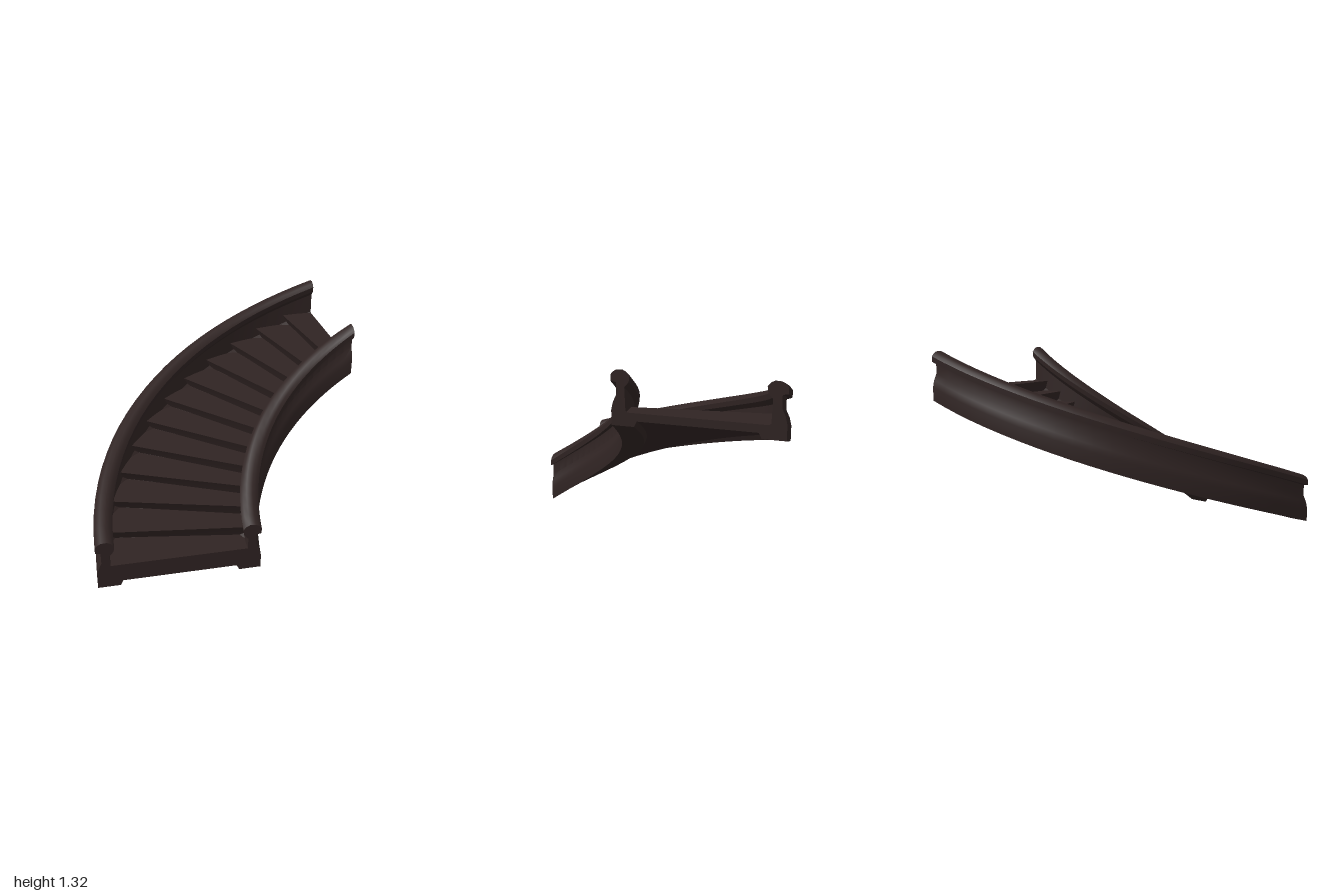
import * as THREE from 'three';
import { toCreasedNormals } from 'three/addons/utils/BufferGeometryUtils.js';

const RISE = 0.96;          // climb over the quarter turn
const STEPS = 12;
const TREAD = Math.PI / 2 / STEPS;

// Wraps a point (radius, height, angle) round the stair's axis at x = 1, z = 1
function place(pos, i, r, y, a) {
  pos.setXYZ(i, 1 - r * Math.cos(a), y, 1 - r * Math.sin(a));
}

// Sweeps a (radius, height) profile up the quarter helix
function sweep(points) {
  const shape = new THREE.Shape(points.map(([r, y]) => new THREE.Vector2(r, y)));
  const geo = new THREE.ExtrudeGeometry(shape, { depth: 1, steps: 24, bevelEnabled: false });
  const pos = geo.attributes.position;
  for (let i = 0; i < pos.count; i++) {
    const t = pos.getZ(i);
    place(pos, i, pos.getX(i), pos.getY(i) + RISE * t, t * Math.PI / 2);
  }
  return toCreasedNormals(geo, 0.5);
}

// Wedge-shaped step with a riser that leans back under its nosing
function step(k) {
  const geo = new THREE.BoxGeometry(1, 1, 1, 1, 1, 3);
  const pos = geo.attributes.position;
  const start = k * TREAD;
  const end = Math.min((k + 1) * TREAD + 0.035, Math.PI / 2);
  for (let i = 0; i < pos.count; i++) {
    const t = pos.getZ(i) + 0.5;
    const top = pos.getY(i) > 0;
    const from = top || k === 0 ? start : start + 0.03;
    const a = from + (end - from) * t;
    const y = top ? 0.17 + 0.08 * k : 0.05 + RISE * a / (Math.PI / 2);
    place(pos, i, 1.445 + pos.getX(i) * 0.93, y, a);
  }
  return toCreasedNormals(geo, 0.5);
}

// Balustrade profile: distance in from the exposed face, height
const balustrade = [
  [0, 0], [0.15, 0], [0.17, 0.04], [0.095, 0.1], [0.09, 0.25], [0.12, 0.285],
  [0.125, 0.325], [0.105, 0.35], [0.08, 0.362], [0.04, 0.36], [0.015, 0.345],
  [0, 0.325], [0, 0.285], [0.035, 0.28], [0.035, 0.2], [0.012, 0.15], [0, 0.1],
];

export function createModel() {
  const group = new THREE.Group();
  const wood = new THREE.MeshStandardMaterial({ color: 0x302423 });
  wood.name = 'darkWood';
  const add = (name, geo) => {
    const mesh = new THREE.Mesh(geo, wood);
    mesh.name = name;
    group.add(mesh);
  };

  // Side walls with moulded base and handrail, mirrored about the flight
  add('outerBalustrade', sweep(balustrade.map(([d, y]) => [2 - d, y])));
  add('innerBalustrade', sweep(balustrade.map(([d, y]) => [0.893 + d, y])));

  // Sloping soffit under the flight
  add('soffit', sweep([[0.98, 0.037], [1.91, 0.037], [1.91, 0.076], [0.98, 0.076]]));

  // Winding treads
  for (let k = 0; k < STEPS; k++) add('step' + (k + 1), step(k));
  return group;
}
